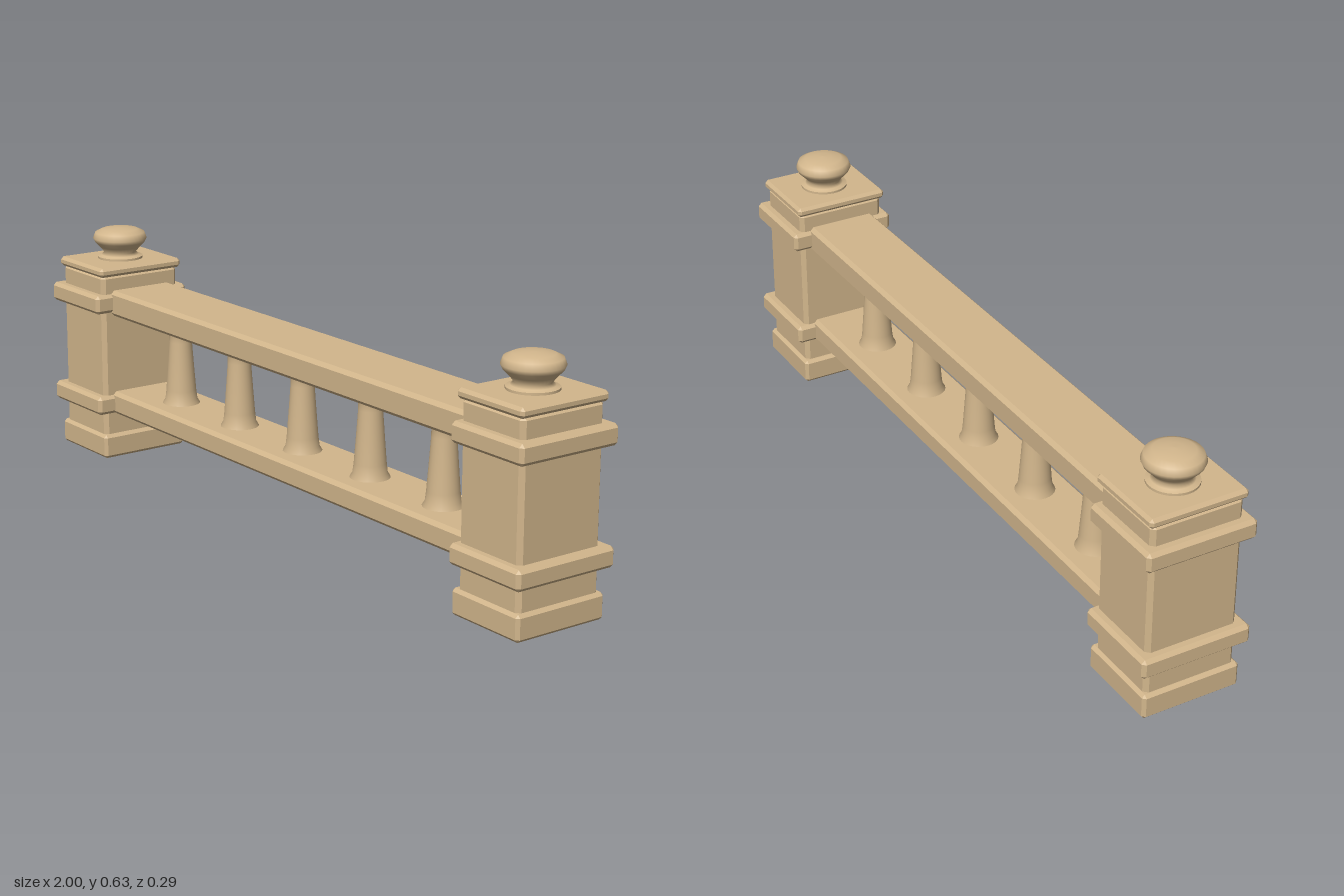
import * as THREE from 'three';
import { ConvexGeometry } from 'three/addons/geometries/ConvexGeometry.js';

// Box with chamfered edges, given by its extents
function chamferBox(x0, x1, y0, y1, z, c) {
  const h = [(x1 - x0) / 2, (y1 - y0) / 2, z];
  const points = [];
  for (const sx of [-1, 1]) for (const sy of [-1, 1]) for (const sz of [-1, 1]) {
    const s = [sx, sy, sz];
    for (let full = 0; full < 3; full++) {
      points.push(new THREE.Vector3(...h.map((v, i) => s[i] * (i === full ? v : v - c))));
    }
  }
  return new ConvexGeometry(points).translate((x0 + x1) / 2, (y0 + y1) / 2, 0);
}

function lathe(profile, segments) {
  return new THREE.LatheGeometry(profile.map(([r, y]) => new THREE.Vector2(r, y)), segments);
}

export function createModel() {
  const model = new THREE.Group();
  model.name = 'balustrade';
  const stone = new THREE.MeshStandardMaterial({ color: 0xd2b68c });
  stone.name = 'sandstone';

  const add = (parent, name, geometry, x = 0) => {
    const mesh = new THREE.Mesh(geometry, stone);
    mesh.name = name;
    mesh.position.x = x;
    parent.add(mesh);
  };

  // Finial and baluster profiles
  const finial = lathe([
    [0.063, 0.549], [0.052, 0.553], [0.044, 0.56], [0.056, 0.575], [0.07, 0.589],
    [0.075, 0.6], [0.069, 0.616], [0.05, 0.625], [0.022, 0.629], [0, 0.63],
  ], 32);
  const foot = new THREE.CylinderGeometry(0.063, 0.063, 0.012, 32).translate(0, 0.543, 0);
  const baluster = lathe([
    [0.052, 0.178], [0.051, 0.188], [0.044, 0.2], [0.041, 0.225], [0.036, 0.29],
    [0.031, 0.36], [0.031, 0.38], [0.035, 0.393], [0.04, 0.4], [0.04, 0.41],
  ], 24);

  // Mirrored end posts: [name, outer x, inner x, bottom, top, half depth, chamfer]
  const postParts = [
    ['postBase', 0.985, 0.753, 0, 0.067, 0.132, 0.008],
    ['postShaft', 0.975, 0.765, 0.04, 0.522, 0.123, 0.011],
    ['lowerBand', 1, 0.756, 0.127, 0.179, 0.147, 0.009],
    ['upperBand', 1, 0.756, 0.416, 0.468, 0.147, 0.009],
    ['postCap', 0.981, 0.757, 0.517, 0.543, 0.131, 0.008],
  ];
  for (const side of [-1, 1]) {
    const post = new THREE.Group();
    post.name = side > 0 ? 'leftPost' : 'rightPost';
    for (const [name, outer, inner, y0, y1, z, c] of postParts) {
      const [x0, x1] = side > 0 ? [inner, outer] : [-outer, -inner];
      add(post, name, chamferBox(x0, x1, y0, y1, z, c));
    }
    add(post, 'finialFoot', foot, side * 0.868);
    add(post, 'finial', finial, side * 0.868);
    model.add(post);
  }

  // Rails, with their ends sunk into the posts
  add(model, 'lowerRail', chamferBox(-0.8, 0.8, 0.124, 0.188, 0.096, 0.01));
  add(model, 'upperRail', chamferBox(-0.8, 0.8, 0.405, 0.477, 0.096, 0.01));

  // Balusters
  for (let i = -2; i <= 2; i++) add(model, 'baluster', baluster, i * 0.282);

  return model;
}
